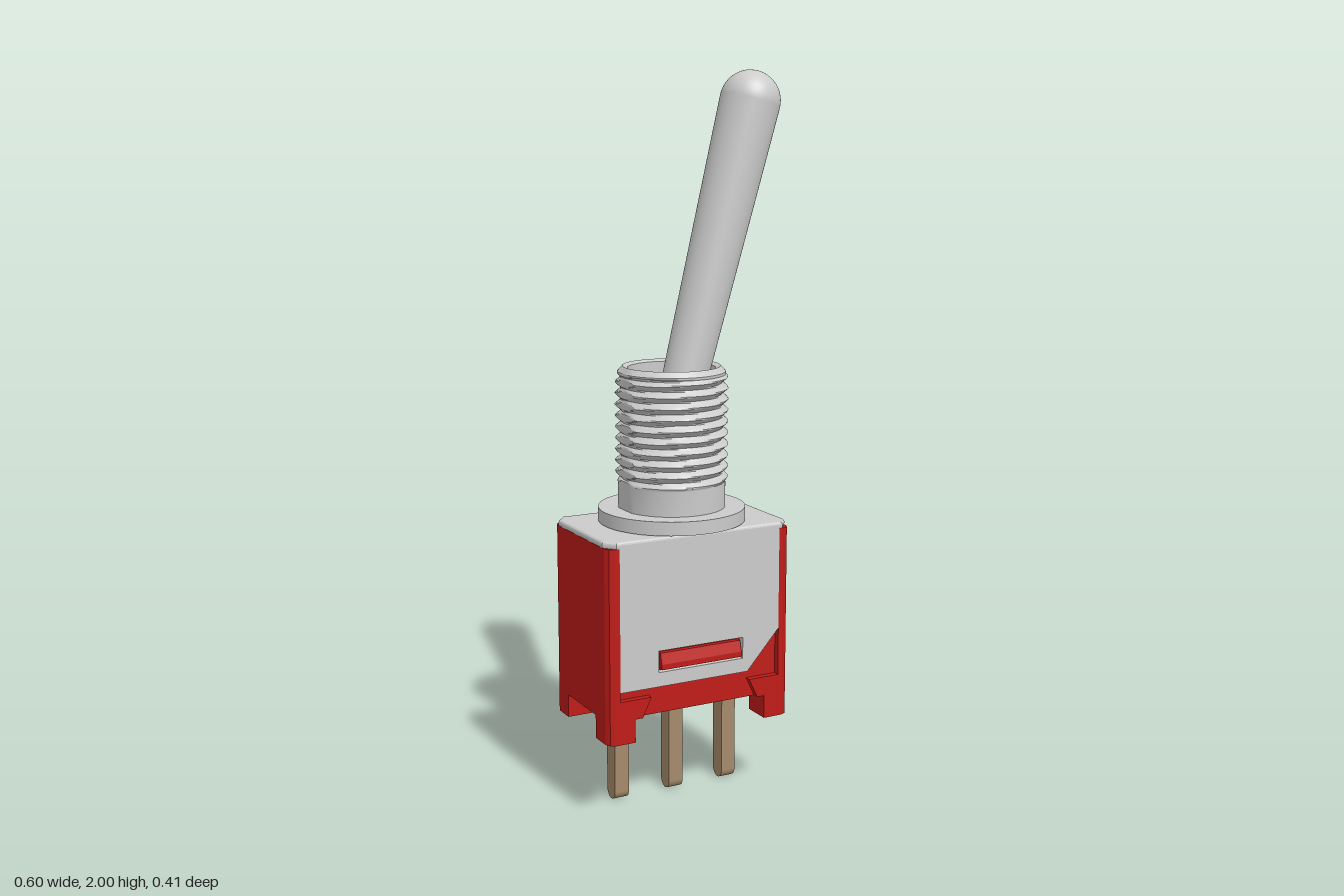
import * as THREE from 'three';
import { toCreasedNormals } from 'three/addons/utils/BufferGeometryUtils.js';

const grey = new THREE.MeshStandardMaterial({ color: 0xcccccc });
const red = new THREE.MeshStandardMaterial({ color: 0xc01c18 });
const brass = new THREE.MeshStandardMaterial({ color: 0xa58a6a });

const polygon = (pts) => new THREE.Shape(pts.map(([x, y]) => new THREE.Vector2(x, y)));
const profile = (pts) => pts.map(([r, y]) => new THREE.Vector2(r, y));
const extrude = (shape, depth) =>
  new THREE.ExtrudeGeometry(shape, { depth, bevelEnabled: false, curveSegments: 10 });

// Plan outline (x, z) raised from y0 to y1
const raise = (shape, y0, y1) => extrude(shape, y1 - y0).rotateX(-Math.PI / 2).translate(0, y0, 0);
// Side outline (z, y) stretched along x, centred on x = 0
const stretch = (shape, width) => extrude(shape, width).translate(0, 0, -width / 2).rotateY(-Math.PI / 2);

export function createModel() {
  const model = new THREE.Group();
  const add = (name, geometry, material) => {
    const mesh = new THREE.Mesh(geometry, material);
    mesh.name = name;
    model.add(mesh);
    return mesh;
  };

  const W = 0.279, D = 0.173; // half width and half depth of the case

  // Red case: corner posts stand proud, front and back are recessed for the bracket
  const quarter = [[0.244, 0.155], [0.244, D], [0.257, D], [0.272, 0.166], [W, 0.151]];
  const flip = (sx, sz) => quarter.map(([x, z]) => [x * sx, z * sz]);
  add('case', raise(polygon([
    ...flip(1, 1), ...flip(1, -1).reverse(), ...flip(-1, -1), ...flip(-1, 1).reverse(),
  ]), 0.29, 0.765), red);

  for (const sz of [1, -1]) {
    for (const sx of [1, -1]) {
      // Corner feet with a rounded outer edge
      const foot = [[0.2, 0.09], [0.2, D], [0.257, D], [0.272, 0.166], [W, 0.151], [W, 0.09]];
      add('foot', raise(polygon(foot.map(([x, z]) => [x * sx, z * sz])), 0.225, 0.345), red);
      // Sloping shoulder beside each foot
      const shoulder = [[0.2, 0.29], [0.178, 0.29], [0.152, 0.345], [0.2, 0.345]];
      add('footShoulder', extrude(polygon(shoulder.map(([x, y]) => [x * sx, y])), 0.03)
        .translate(0, 0, sz > 0 ? D - 0.03 : -D), red);
    }

    // Bracket plate with a cut lower corner and a slot
    const plate = polygon([
      [-0.244, 0.37], [0.145, 0.37], [0.244, 0.48], [0.244, 0.772], [-0.244, 0.772],
    ]);
    plate.holes.push(polygon([[-0.13, 0.41], [-0.13, 0.47], [0.13, 0.47], [0.13, 0.41]]));
    add('bracketPlate', extrude(plate, 0.018).translate(0, 0, sz > 0 ? D - 0.018 : -D), grey);

    // Snap tab filling the slot
    const tab = [[0.15, 0.462], [0.17, 0.462], [0.178, 0.432], [0.178, 0.417], [0.15, 0.417]];
    add('snapTab', stretch(polygon(tab.map(([z, y]) => [z * sz, y])), 0.246), red);
  }

  // Bracket top with cut corners and softened edges
  const b = 0.008;
  const top = polygon([
    [W - b, 0.138], [0.249, D - b], [-0.249, D - b], [b - W, 0.138],
    [b - W, -0.138], [-0.249, b - D], [0.249, b - D], [W - b, -0.138],
  ]);
  add('bracketTop', new THREE.ExtrudeGeometry(top, {
    depth: 0.006, bevelEnabled: true, bevelSize: b, bevelThickness: b, bevelSegments: 3,
  }).rotateX(-Math.PI / 2).translate(0, 0.768, 0), grey);

  // Flange under the bushing
  add('flange', new THREE.CylinderGeometry(0.203, 0.203, 0.038, 64).translate(0, 0.803, 0), grey);

  // Bushing: hollow, with a helical thread and a flat on its right side
  const y0 = 0.89, y1 = 1.193, pitch = 0.031;
  const outline = [[0.148, 0.8], [0.148, y0 - 0.002]];
  const rows = 80;
  for (let i = 0; i <= rows; i++) outline.push([0.15, y0 + (y1 - y0) * i / rows]);
  outline.push([0.148, 1.197], [0.134, 1.212], [0.12, 1.206], [0.12, 0.95], [0, 0.95]);
  const bushing = new THREE.LatheGeometry(profile(outline), 72);
  const p = bushing.attributes.position;
  for (let i = 0; i < p.count; i++) {
    let x = p.getX(i), z = p.getZ(i);
    const y = p.getY(i), r = Math.hypot(x, z);
    if (r > 0.149) {
      const turn = y / pitch - Math.atan2(x, z) / (2 * Math.PI);
      const wave = Math.abs(2 * (turn - Math.floor(turn)) - 1);
      const fade = Math.min(1, (y - y0) / 0.015, (y1 - y) / 0.01);
      const k = (0.148 + Math.max(0, fade) * (0.018 * wave - 0.01)) / r;
      x *= k;
      z *= k;
    }
    p.setXYZ(i, Math.max(x, -0.143), y, z);
  }
  add('threadedBushing', toCreasedNormals(bushing, 0.5), grey);

  // Tapered lever with a ball end, leaning to the left
  const L = 0.929, R = 0.083;
  const bat = [[0, -0.09], [0.04, -0.075], [0.056, -0.04], [0.058, 0]];
  for (let i = 0; i <= 12; i++) {
    const a = i / 12 * Math.PI / 2;
    bat.push([R * Math.cos(a), L + R * Math.sin(a)]);
  }
  const lever = add('lever', new THREE.LatheGeometry(profile(bat), 48), grey);
  lever.position.y = 1.02;
  lever.rotation.z = -0.2625;

  // Three terminals with rounded tips, each set in a bead of sealant
  for (const x of [-0.17, 0, 0.17]) {
    const blade = new THREE.Shape();
    blade.moveTo(0.025, 0.31);
    blade.lineTo(-0.025, 0.31);
    blade.lineTo(-0.025, 0.025);
    blade.absarc(0, 0.025, 0.025, Math.PI, 2 * Math.PI, false);
    add('terminal', stretch(blade, 0.043).translate(x, 0, 0), brass);
    add('sealantBead', new THREE.SphereGeometry(0.092, 32, 16).scale(1, 0.3, 1).translate(x, 0.29, 0), grey);
  }

  for (const mesh of model.children) mesh.position.x -= 0.024;
  return model;
}
